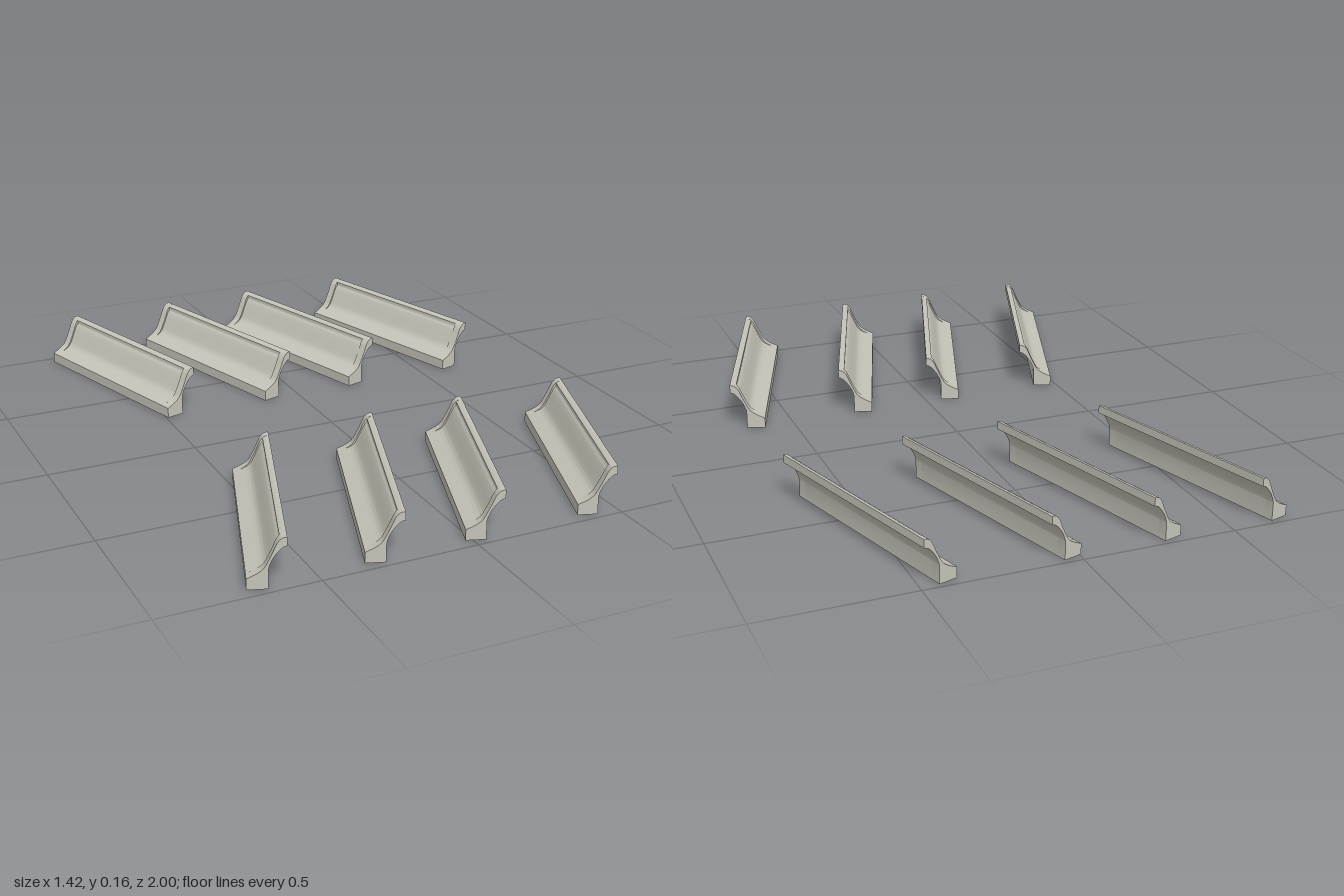
import * as THREE from 'three';
import { toCreasedNormals } from 'three/addons/utils/BufferGeometryUtils.js';

const LENGTHWISE_RIM = 0.03;

// Upper outline at the raised end rims, from low lip to high edge
const RIM = [[0, 0.035], [0.02, 0.044], [0.036, 0.053], [0.05, 0.065], [0.063, 0.088],
  [0.075, 0.113], [0.086, 0.138], [0.095, 0.150], [0.105, 0.156], [0.115, 0.157]];
// Lower outline of the dished middle, ending below the long rim
const DISH = [[0, 0.035], [0.02, 0.044], [0.036, 0.051], [0.047, 0.057], [0.058, 0.068],
  [0.068, 0.088], [0.079, 0.112], [0.088, 0.129], [0.095, 0.137]];
// Hollow underside of the high flange, from flange down to the foot
const UNDERCUT = [[0.115, 0.130], [0.103, 0.126], [0.089, 0.113], [0.076, 0.095],
  [0.067, 0.077], [0.062, 0.060]];

const points = (list) => list.map(([x, y]) => new THREE.Vector2(x - 0.0575, y));

function section(upper, closing = []) {
  const shape = new THREE.Shape();
  const top = points(upper);
  shape.moveTo(top[0].x, 0);
  shape.lineTo(top[0].x, top[0].y);
  shape.splineThru(top.slice(1));
  for (const p of points([...closing, UNDERCUT[0]])) shape.lineTo(p.x, p.y);
  shape.splineThru(points(UNDERCUT.slice(1)));
  shape.lineTo(0.062 - 0.0575, 0);
  shape.closePath();
  return shape;
}

function extrude(shape, depth, z) {
  const geometry = new THREE.ExtrudeGeometry(shape, { depth, bevelEnabled: false, curveSegments: 3 });
  geometry.translate(0, 0, z);
  return toCreasedNormals(geometry, 0.6);
}

export function createModel() {
  const model = new THREE.Group();
  model.name = 'slantedTroughs';
  const stone = new THREE.MeshStandardMaterial({ color: 0xc4c4b8 });
  stone.name = 'warm grey';

  const rimShape = section(RIM);
  const dishShape = section(DISH, [[0.095, 0.150], [0.105, 0.156], [0.115, 0.157]]);
  const length = 0.722;
  const half = length / 2;

  // One bar: dished middle between two raised end rims
  const parts = {
    dishedBody: extrude(dishShape, length - 2 * LENGTHWISE_RIM, -half + LENGTHWISE_RIM),
    backEndRim: extrude(rimShape, LENGTHWISE_RIM, -half),
    frontEndRim: extrude(rimShape, LENGTHWISE_RIM, half - LENGTHWISE_RIM),
  };

  const rows = [
    { name: 'frontBar', z: 0.637, angle: -19 },
    { name: 'backBar', z: -0.637, angle: 16.5 },
  ];
  for (const row of rows) {
    [-0.541, -0.177, 0.151, 0.539].forEach((x, i) => {
      const bar = new THREE.Group();
      bar.name = row.name + (i + 1);
      for (const [name, geometry] of Object.entries(parts)) {
        const mesh = new THREE.Mesh(geometry, stone);
        mesh.name = name;
        bar.add(mesh);
      }
      bar.position.set(x, 0, row.z);
      bar.rotation.y = THREE.MathUtils.degToRad(row.angle);
      model.add(bar);
    });
  }
  return model;
}
